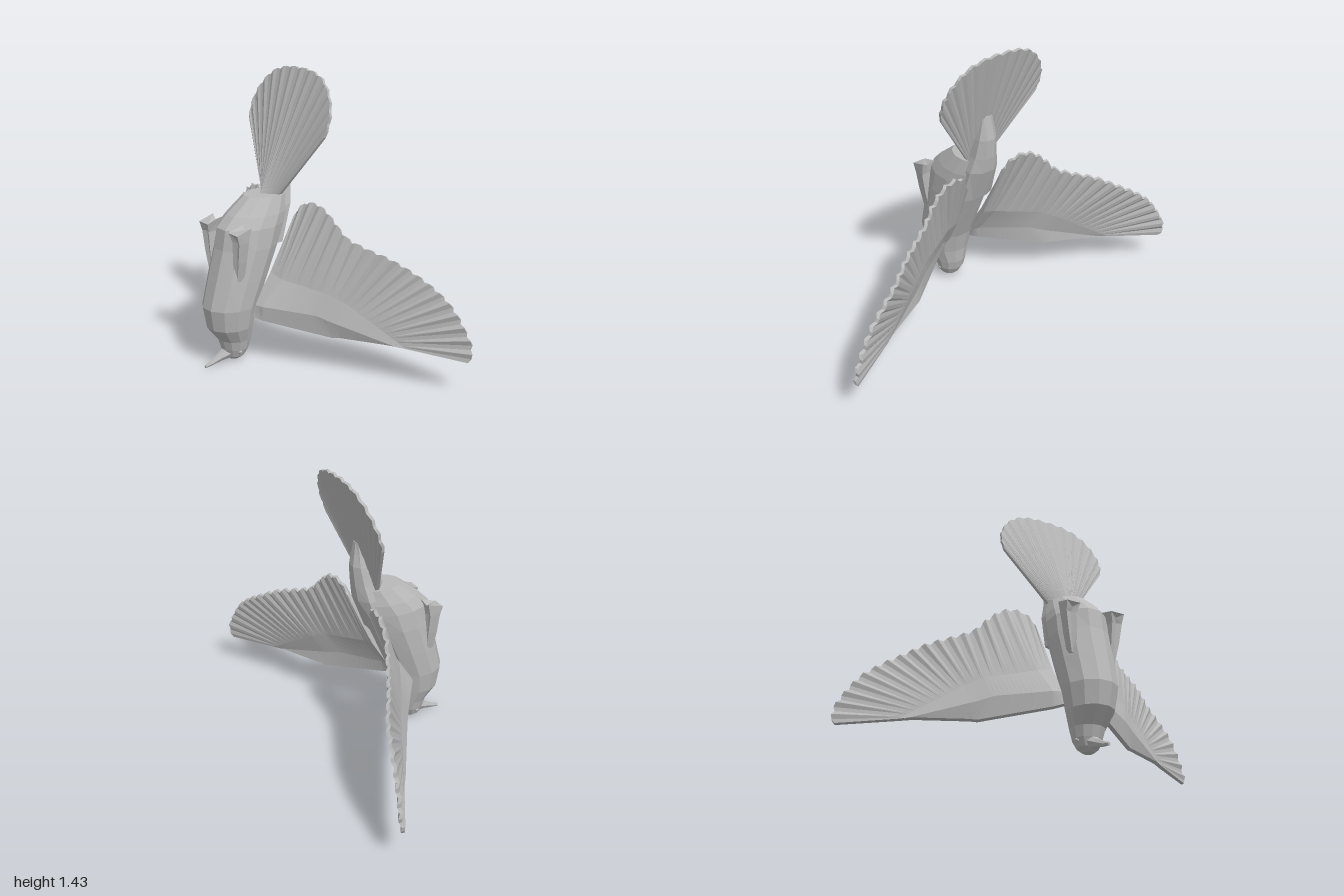
import * as THREE from 'three';

const V = (x, y, z) => new THREE.Vector3(x, y, z);
const lerp = THREE.MathUtils.lerp;

// Closed faceted solid through rings of equal point count; faces always turn outward
function loft(rings) {
  const n = rings[0].length, pts = rings.flat(), tris = [];
  for (let i = 0; i < rings.length - 1; i++) {
    for (let j = 0; j < n; j++) {
      const a = i * n + j, b = i * n + (j + 1) % n;
      tris.push([a, b, a + n], [b, b + n, a + n]);
    }
  }
  const last = (rings.length - 1) * n;
  for (let j = 1; j < n - 1; j++) {
    tris.push([0, j + 1, j], [last, last + j, last + j + 1]);
  }
  let volume = 0;
  for (const [a, b, c] of tris) volume += pts[a].dot(pts[b].clone().cross(pts[c]));
  if (volume < 0) tris.forEach(t => t.reverse());
  const geo = new THREE.BufferGeometry().setFromPoints(tris.flat().map(i => pts[i]));
  geo.computeVertexNormals();
  return geo;
}

// Point on a polyline given as [t, x, y, z] rows
function along(rows, t) {
  let i = 0;
  while (i < rows.length - 2 && t > rows[i + 1][0]) i++;
  const a = rows[i], b = rows[i + 1], k = (t - a[0]) / (b[0] - a[0]);
  return V(lerp(a[1], b[1], k), lerp(a[2], b[2], k), lerp(a[3], b[3], k));
}

// Body rings from rows of [y, zFront, zBack, halfWidth]
function bodyRings(rows, sides = 12) {
  return rows.map(([y, zf, zb, w]) => {
    const zm = zb + (zf - zb) * 0.48;
    return Array.from({ length: sides }, (_, j) => {
      const a = (j + 0.5) / sides * Math.PI * 2, c = Math.cos(a) / Math.cos(Math.PI / sides);
      return V(Math.sin(a) * w * 1.03, y, zm + c * (c > 0 ? zf - zm : zm - zb));
    });
  });
}

// Scalloped wing with pleated feathers and a thicker arm
function wingGeometry(side) {
  const edge = new THREE.CatmullRomCurve3([
    V(0.11, 0.70, -0.05), V(0.15, 0.775, -0.075), V(0.21, 0.80, -0.09), V(0.28, 0.785, -0.10),
    V(0.36, 0.72, -0.115), V(0.41, 0.665, -0.135), V(0.5, 0.625, -0.18), V(0.6, 0.59, -0.235),
    V(0.7, 0.535, -0.295), V(0.8, 0.475, -0.335), V(0.88, 0.41, -0.36), V(0.95, 0.31, -0.38),
    V(0.985, 0.235, -0.39), V(0.985, 0.17, -0.375)]);
  const lead = [[0, 0.09, 0.25, 0.18], [0.15, 0.14, 0.235, 0.15], [0.4, 0.42, 0.185, -0.055],
    [0.55, 0.45, 0.19, -0.075], [1, 0.66, 0.195, -0.19]];
  const ridge = [[0, 0.09, 0.31, 0.17], [0.15, 0.14, 0.31, 0.155], [0.36, 0.36, 0.295, 0.0],
    [0.46, 0.43, 0.27, -0.045], [1, 0.69, 0.194, -0.205]];
  const covert = [[0, 0.1, 0.46, 0.07], [0.15, 0.17, 0.44, 0.06], [0.36, 0.39, 0.40, -0.055],
    [0.5, 0.47, 0.36, -0.105], [1, 0.73, 0.191, -0.235]];
  const normal = V(0.45, 0.3, 0.84);
  const feathers = 20, step = 3, rings = [];
  for (let i = 0; i <= feathers * step; i++) {
    const t = i / (feathers * step), mid = i % step !== 0;
    const e = edge.getPointAt(t), c = along(covert, t);
    const out = e.clone().sub(c).normalize();
    if (mid) e.addScaledVector(out, 0.012);
    e.addScaledVector(normal, i % step === 1 ? 0.006 : -0.004);
    const front = [along(lead, t), along(ridge, t), c, e];
    const thick = [0.02, lerp(0.045, 0.02, t), lerp(0.035, 0.018, t), 0.016];
    const back = front.map((p, k) => p.clone().addScaledVector(normal, -thick[k])).reverse();
    rings.push([...front, ...back].map(p => V(p.x * side, p.y, p.z)));
  }
  return loft(rings);
}

// Fan tail, leaning back as it rises
function tailGeometry() {
  const half = [[0.285, 1.14], [0.29, 1.22], [0.255, 1.31], [0.18, 1.385], [0.09, 1.415]];
  const outline = [...half.map(([x, y]) => [-x, y]), [0, 1.42], ...half.map(p => [...p]).reverse()];
  const rim = new THREE.CatmullRomCurve3(outline.map(([x, y]) => V(x, y, 0.0 - (y - 0.83) * 0.305)));
  const feathers = 14, step = 3, rings = [];
  for (let i = 0; i <= feathers * step; i++) {
    const t = i / (feathers * step), s = t * 2 - 1;
    const e = rim.getPointAt(t);
    const base = V(0.06 * s, 0.82, 0.06 * (1 - Math.abs(s)));
    if (i % step) e.addScaledVector(e.clone().sub(base).normalize(), 0.01);
    e.z += i % step === 1 ? 0.004 : -0.002;
    rings.push([base, e, V(e.x, e.y - 0.003, e.z - 0.014), V(base.x, 0.82, -0.02)]);
  }
  return loft(rings);
}

// Folded leg ending in a flared foot
function legGeometry(side) {
  const rows = [[0.46, 0.105, 0.265, 0.012, 0.02], [0.56, 0.115, 0.268, 0.022, 0.025],
    [0.66, 0.125, 0.27, 0.027, 0.028], [0.705, 0.12, 0.27, 0.036, 0.042]];
  return loft(rows.map(([y, x, z, w, d], i) =>
    [[-1, 1], [0, 0.6], [1, 1], [1, -1], [0, -0.7], [-1, -1]].map(([a, b]) => {
      const rise = i === 3 ? (b < 0 ? 0.025 : 0) - (a === 0 ? 0.02 : 0) : 0;
      return V(side * (x + a * w), y + rise, z + b * d);
    })));
}

export function createModel() {
  const group = new THREE.Group();
  const grey = new THREE.MeshStandardMaterial({ color: 0xb8b8b8, flatShading: true });
  grey.name = 'plain grey';
  const add = (name, geo) => {
    const mesh = new THREE.Mesh(geo, grey);
    mesh.name = name;
    group.add(mesh);
    return mesh;
  };

  // Head, breast and belly
  add('body', loft(bodyRings([
    [0.015, 0.25, 0.20, 0.025], [0.035, 0.275, 0.175, 0.05], [0.075, 0.29, 0.152, 0.068],
    [0.125, 0.305, 0.14, 0.08], [0.20, 0.365, 0.135, 0.108], [0.31, 0.385, 0.11, 0.125],
    [0.45, 0.35, 0.05, 0.132], [0.60, 0.31, -0.015, 0.135], [0.70, 0.295, -0.06, 0.13],
    [0.755, 0.24, -0.08, 0.117], [0.835, 0.14, -0.09, 0.088]])));

  // Back ridge running up behind the tail
  add('tailCoverts', loft(bodyRings([
    [0.60, 0.05, -0.03, 0.10], [0.78, 0.03, -0.10, 0.09], [0.86, 0.0, -0.112, 0.07],
    [0.96, -0.03, -0.12, 0.055], [1.08, -0.07, -0.10, 0.028]], 8)));

  // Beak pointing forward and slightly down
  add('beak', loft([[0.25, 0.065, 0.045, 0.04], [0.31, 0.04, 0.02, 0.022],
    [0.36, 0.021, 0.012, 0.013], [0.40, 0.011, 0.007, 0.008]].map(([z, y, w, h]) =>
    Array.from({ length: 6 }, (_, j) => {
      const a = j / 6 * Math.PI * 2;
      return V(Math.cos(a) * w, y + Math.sin(a) * h, z);
    }))));

  add('tail', tailGeometry());

  for (const [side, label] of [[1, 'left'], [-1, 'right']]) {
    add(label + 'Wing', wingGeometry(side));
    add(label + 'Leg', legGeometry(side));
    const eye = add(label + 'Eye', new THREE.IcosahedronGeometry(0.014, 0));
    eye.position.set(side * 0.058, 0.065, 0.232);
  }
  return group;
}
